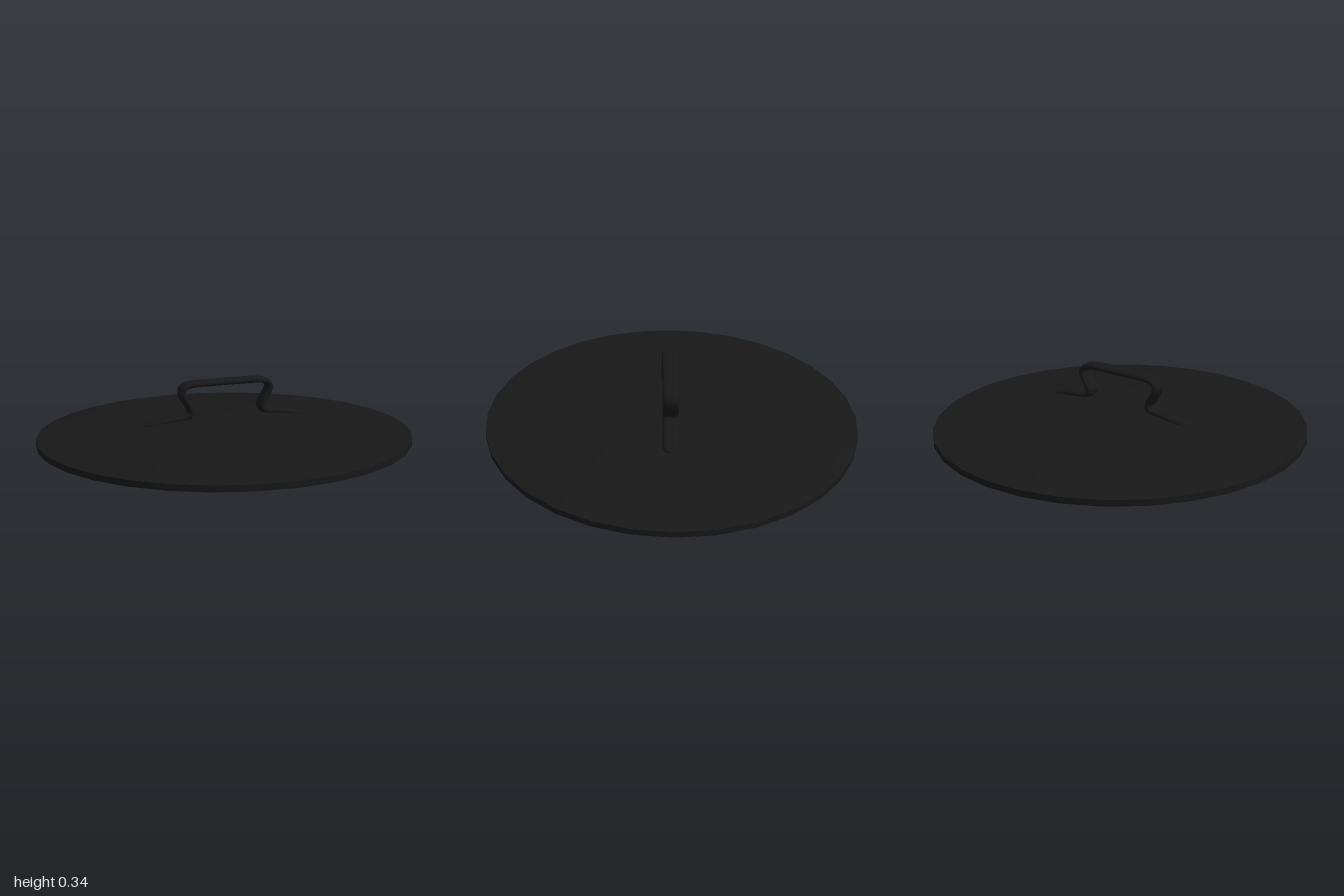
import * as THREE from 'three';
import { toCreasedNormals } from 'three/addons/utils/BufferGeometryUtils.js';

const HALF_WIDTH = 0.044, HALF_THICK = 0.017, END = 0.46;

// Strap swept along a path in the local xy plane, with rounded ends.
function strapGeometry(path, steps, sides) {
  const pos = [], index = [];
  const bulge = (v) => Math.sign(v) * Math.pow(Math.abs(v), 0.75);
  for (let i = 0; i <= steps; i++) {
    const p = path.getPoint(i / steps), t = path.getTangent(i / steps);
    const over = Math.max(0, (Math.abs(p.x) - (END - HALF_WIDTH)) / HALF_WIDTH);
    const taper = Math.sqrt(Math.max(0, 1 - over * over));
    for (let j = 0; j < sides; j++) {
      const a = (j / sides) * Math.PI * 2;
      const n = bulge(Math.cos(a)) * HALF_THICK * Math.sqrt(taper);
      const w = bulge(Math.sin(a)) * HALF_WIDTH * taper;
      pos.push(p.x - t.y * n, p.y + t.x * n, w);
      if (i === steps) continue;
      const k = (j + 1) % sides;
      const A = i * sides + j, C = i * sides + k, B = A + sides, D = C + sides;
      index.push(A, C, B, B, C, D);
    }
  }
  const g = new THREE.BufferGeometry();
  g.setAttribute('position', new THREE.Float32BufferAttribute(pos, 3));
  g.setIndex(index);
  g.computeVertexNormals();
  return g;
}

export function createModel() {
  const model = new THREE.Group();
  const material = new THREE.MeshStandardMaterial({ color: 0x181818 });

  // The lid rests at a slight tilt
  const lid = new THREE.Group();
  lid.name = 'lid';
  lid.position.y = 0.02;
  lid.rotation.set(-0.003, 0, 0.0165);
  model.add(lid);

  // Shallow dome with a thin upright rim and flat underside
  const profile = [
    [0, 0], [1.005, 0], [1.005, 0.032], [0.76, 0.066],
    [0.5, 0.096], [0.24, 0.122], [0, 0.128],
  ].map(([r, y]) => new THREE.Vector2(r, y));
  const dome = new THREE.Mesh(
    toCreasedNormals(new THREE.LatheGeometry(profile, 32, Math.PI / 32), 0.6), material);
  dome.name = 'dome';
  lid.add(dome);

  // Bent strap handle: foot, pinched leg, grip, mirrored
  const half = [
    [END, 0.094], [0.445, 0.097], [0.41, 0.103], [0.32, 0.119], [0.24, 0.130],
    [0.207, 0.142], [0.201, 0.165], [0.222, 0.205], [0.246, 0.25],
    [0.244, 0.278], [0.222, 0.296], [0.17, 0.304], [0.08, 0.305],
  ];
  const points = [
    ...half.map(([x, y]) => new THREE.Vector3(-x, y, 0)),
    ...half.map(([x, y]) => new THREE.Vector3(x, y, 0)).reverse(),
  ];
  const handle = new THREE.Mesh(
    strapGeometry(new THREE.CatmullRomCurve3(points), 150, 16), material);
  handle.name = 'handle';
  handle.position.x = 0.015;
  handle.rotation.y = 1.086;
  lid.add(handle);

  return model;
}
